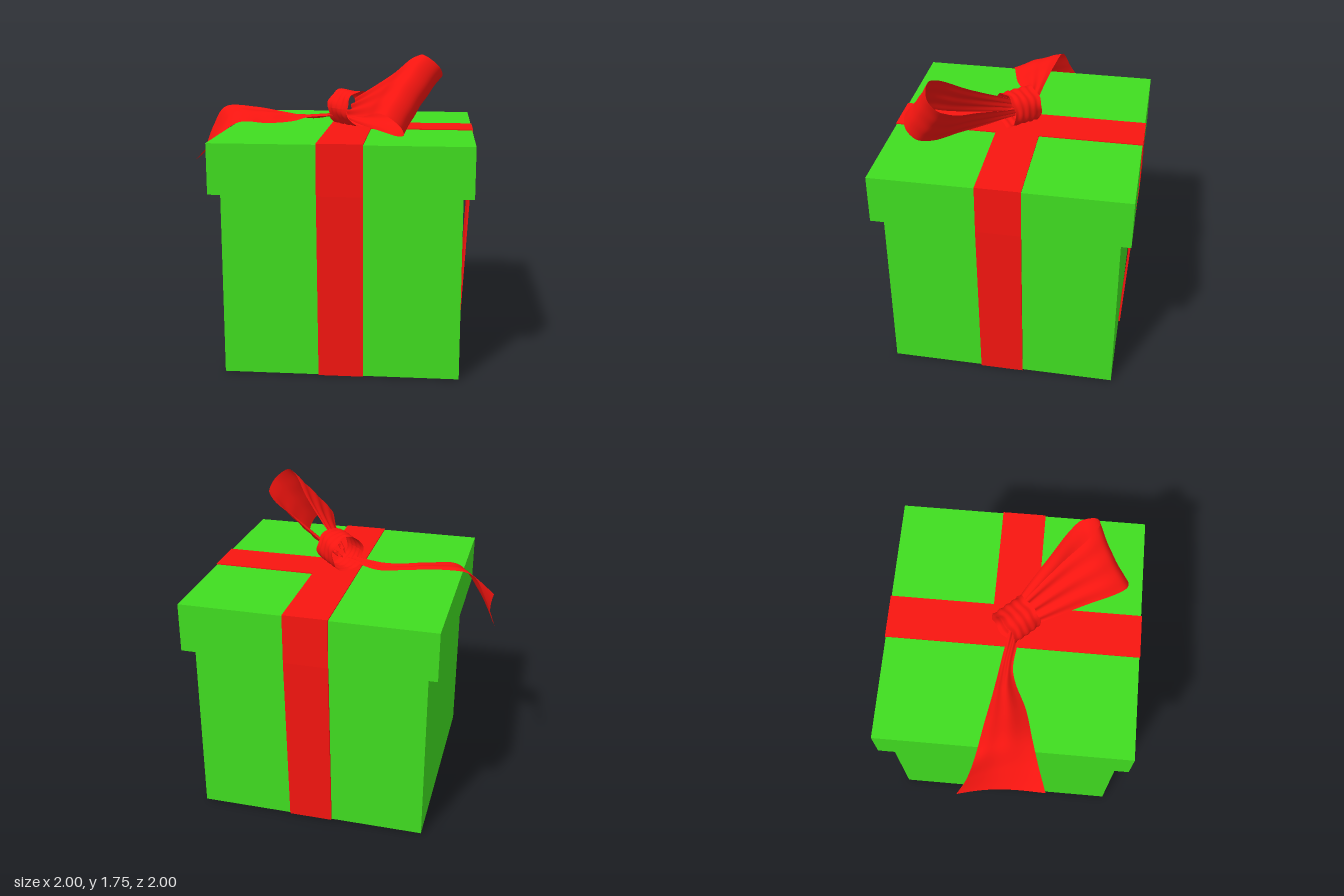
import * as THREE from 'three';

const green = new THREE.MeshStandardMaterial({ color: 0x40dd20 });
const red = new THREE.MeshStandardMaterial({ color: 0xf81510 });
const redCloth = new THREE.MeshStandardMaterial({ color: 0xf81510, side: THREE.DoubleSide });

function add(parent, name, geometry, material) {
  const mesh = new THREE.Mesh(geometry, material);
  mesh.name = name;
  parent.add(mesh);
  return mesh;
}

// Smooth sheet of cloth: point(u, v) returns a Vector3, u along and v across
function sheet(point, nu, nv) {
  const g = new THREE.PlaneGeometry(1, 1, nu, nv);
  const pos = g.attributes.position;
  for (let i = 0; i < pos.count; i++) {
    const p = point(pos.getX(i) + 0.5, pos.getY(i) + 0.5);
    pos.setXYZ(i, p.x, p.y, p.z);
  }
  g.computeVertexNormals();
  return g;
}

const curve = (pts) => new THREE.CatmullRomCurve3(pts.map((p) => new THREE.Vector3(...p)));

function createBox() {
  const box = new THREE.Group();
  box.name = 'giftBox';
  add(box, 'boxBody', new THREE.BoxGeometry(1.3, 1.027, 1.3), green).position.y = 0.5165;
  add(box, 'lid', new THREE.BoxGeometry(1.414, 0.277, 1.414), green).position.y = 1.1665;

  // Ribbon arm: over the lid, down its side, then slanting in to the foot of the box
  const profile = [[0, 1.3], [0.7, 1.3], [0.7, 1.03], [0.648, 0.002],
    [0.659, 0.002], [0.711, 1.03], [0.711, 1.311], [0, 1.311]];
  const arm = new THREE.ExtrudeGeometry(
    new THREE.Shape(profile.map((p) => new THREE.Vector2(...p))),
    { depth: 0.248, bevelEnabled: false });
  arm.translate(0, 0, -0.124);
  [0, Math.PI / 2, -Math.PI / 2].forEach((a, i) => {
    add(box, 'ribbonArm' + (i + 1), arm, red).rotation.y = a;
  });
  add(box, 'ribbonUnderBox', new THREE.BoxGeometry(0.38, 0.006, 0.248), red).position.set(0.19, 0.003, 0);

  box.rotation.y = Math.PI / 4 + 0.012;
  return box;
}

function createBow() {
  const bow = new THREE.Group();
  bow.name = 'bow';

  // Knot: open gathered band around the x axis
  add(bow, 'knot', sheet((u, v) => {
    const a = u * Math.PI * 2;
    const edge = 2 * v - 1;
    const r = 0.099 + 0.003 * Math.cos(v * Math.PI * 8) + 0.003 * Math.sin(a * 5 + v * 4);
    const x = 0.008 + edge * (0.09 + 0.005 * Math.sin(a * 6));
    return new THREE.Vector3(x, 1.417 + r * Math.sin(a), 0.012 + r * Math.cos(a));
  }, 48, 20), redCloth);

  // Loop: teardrop strip, fanning out from the knot and tilted about x
  const across = new THREE.Vector3(0, 0.73, -0.68);
  const through = new THREE.Vector3(0, 0.68, 0.73);
  const path = curve([[0.03, 0.02, 0], [0.16, 0.035, 0], [0.36, 0.065, 0], [0.52, 0.102, 0],
    [0.6, 0.085, 0], [0.64, 0, 0], [0.6, -0.085, 0], [0.52, -0.102, 0],
    [0.36, -0.075, 0], [0.16, -0.045, 0], [0.03, -0.02, 0]]);
  add(bow, 'bowLoop', sheet((u, v) => {
    const q = path.getPoint(u);
    const t = THREE.MathUtils.clamp((q.x - 0.03) / 0.55, 0, 1);
    const e = 2 * v - 1;
    const half = 0.065 + 0.14 * Math.pow(t, 0.9);
    const fold = 0.011 * Math.sin(e * 9 + u * 3) * (1 - t * 0.85);
    const p = new THREE.Vector3(q.x + 0.015 * (e * e - 0.7) * t, 1.41 + 0.13 * t, 0.012 + 0.045 * t);
    return p.addScaledVector(across, e * half).addScaledVector(through, q.y + fold);
  }, 64, 24), redCloth);

  // Tail: strip between two edge curves, hanging over the side of the lid
  const outer = curve([[-0.05, 1.38, 0.02], [-0.2, 1.34, 0.13], [-0.34, 1.365, 0.24],
    [-0.5, 1.4, 0.36], [-0.65, 1.395, 0.47], [-0.74, 1.27, 0.505], [-0.82, 1.15, 0.51]]);
  const inner = curve([[-0.05, 1.37, 0.1], [-0.17, 1.355, 0.2], [-0.21, 1.335, 0.27],
    [-0.26, 1.33, 0.42], [-0.34, 1.34, 0.57], [-0.39, 1.26, 0.68], [-0.44, 1.13, 0.81]]);
  add(bow, 'bowTail', sheet((u, v) => {
    const p = outer.getPoint(u).lerp(inner.getPoint(u), v);
    const bulge = Math.sin(v * Math.PI);
    p.y += 0.012 * Math.sin(v * 12) * bulge * (1 - u) + 0.025 * bulge * Math.sin(u * Math.PI);
    p.z -= 0.03 * bulge * u * u;
    return p;
  }, 48, 16), redCloth);

  return bow;
}

export function createModel() {
  const model = new THREE.Group();
  model.name = 'giftBoxWithBow';
  model.add(createBox(), createBow());
  return model;
}
